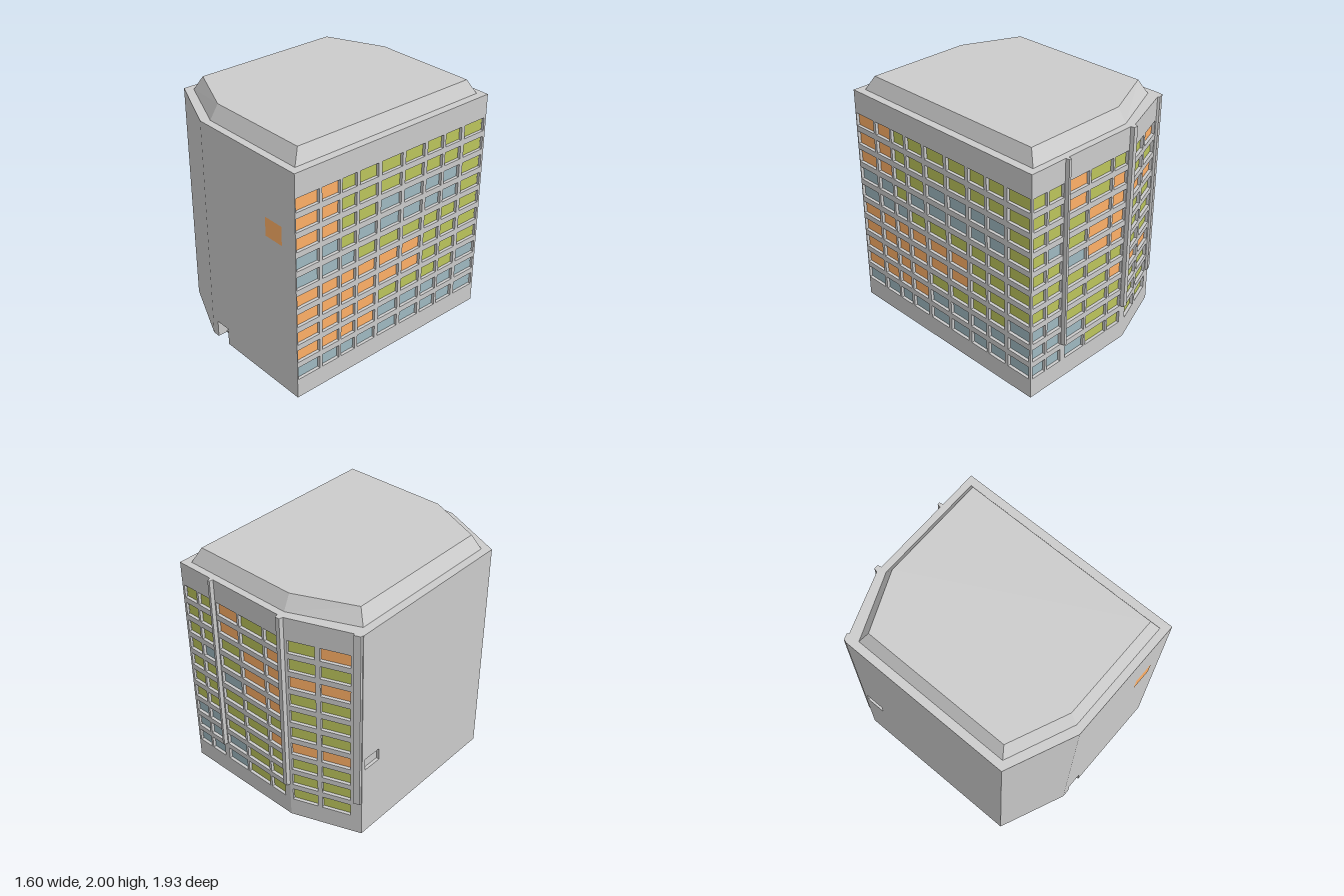
import * as THREE from 'three';
import { mergeGeometries } from 'three/addons/utils/BufferGeometryUtils.js';

const WALL_H = 1.885, ROOF_H = 2, DEPTH = 0.025;
const grey = new THREE.MeshStandardMaterial({ color: 0xcccccc, flatShading: true });
const greyDouble = new THREE.MeshStandardMaterial({ color: 0xcccccc, side: THREE.DoubleSide });
const glass = {
  O: new THREE.MeshStandardMaterial({ color: 0xffb067 }),
  G: new THREE.MeshStandardMaterial({ color: 0xbcc55c }),
  B: new THREE.MeshStandardMaterial({ color: 0x9fb9c1 }),
  N: grey,
};

// Corners as [x, z], running left to right when each wall is seen from outside
const FOOTPRINT = [[0.8, 0.965], [0.8, -0.935], [-0.25, -0.935], [-0.8, -0.73], [-0.8, 0.725], [-0.25, 0.965]];
const ROOF_BASE = [[0.735, 0.905], [0.735, -0.88], [-0.21, -0.88], [-0.735, -0.66], [-0.735, 0.68], [-0.21, 0.905]];
const ROOF_TOP = [[0.685, 0.84], [0.685, -0.815], [-0.2, -0.815], [-0.67, -0.61], [-0.67, 0.635], [-0.2, 0.84]];

// Window columns [start, end] along the wall, and colours of each row from the top
const SIDE_COLS = [[0.008, 0.215], [0.241, 0.405], [0.427, 0.565], [0.592, 0.771], [0.805, 1.01],
  [1.042, 1.238], [1.27, 1.435], [1.461, 1.631], [1.665, 1.88]];
const SIDE_ROWS = ['OOGGGGGGG', 'OOGGGGGGG', 'OOGGBBBBG', 'BBGBBBBBG', 'BBBGGGGGG',
  'OOOOOOGGG', 'OOOOOOGGG', 'OOOOGGGGB', 'OOOOBBBBB', 'BBBBBBBBB'];
const BACK_COLS = [[0.02, 0.15], [0.17, 0.315], [0.365, 0.575], [0.595, 0.83], [0.85, 0.995]];
const BACK_ROWS = ['GGOGG', 'GGOGO', 'GGGOO', 'GBGOO', 'GGBOO', 'GGGGG', 'GGGGO', 'BBGGG', 'BBBGG', 'BBBGG'];
const ANGLE_COLS = [[0.023, 0.23], [0.267, 0.496]];
const ANGLE_ROWS = ['GO', 'GG', 'OO', 'GG', 'GG', 'GG', 'OO', 'GG', 'GG', 'GG'];

const rowBottom = (r) => 1.585 - r * 0.1578;
const ROW_H = 0.11;

function gridOpenings(cols, rows) {
  return rows.flatMap((row, r) => cols.map(([u0, u1], c) => (
    { u0, u1, v0: rowBottom(r), v1: rowBottom(r) + ROW_H, color: row[c], depth: DEPTH })));
}

function addMesh(parent, name, geometry, material) {
  const mesh = new THREE.Mesh(geometry, material);
  mesh.name = name;
  parent.add(mesh);
  return mesh;
}

function rectPath(o) {
  return new THREE.Path([[o.u0, o.v0], [o.u0, o.v1], [o.u1, o.v1], [o.u1, o.v0]].map((p) => new THREE.Vector2(...p)));
}

// Flat wall with openings, their reveals and recessed panes
function makeWall(name, a, b, openings) {
  const wall = new THREE.Group();
  wall.name = name;
  const dx = b[0] - a[0], dz = b[1] - a[1], len = Math.hypot(dx, dz);
  wall.position.set(a[0], 0, a[1]);
  wall.rotation.y = Math.atan2(-dz, dx);

  // An opening at ground level cuts the wall outline instead of making a hole
  const door = openings.find((o) => o.v0 === 0);
  const outline = [[0, 0]];
  if (door) outline.push([door.u0, 0], [door.u0, door.v1], [door.u1, door.v1], [door.u1, 0]);
  outline.push([len, 0], [len, WALL_H], [0, WALL_H]);
  const shape = new THREE.Shape(outline.map((p) => new THREE.Vector2(...p)));
  shape.holes = openings.filter((o) => o !== door).map(rectPath);
  addMesh(wall, name + 'Surface', new THREE.ShapeGeometry(shape), grey);

  const reveals = [], panes = {};
  for (const o of openings) {
    const w = o.u1 - o.u0, h = o.v1 - o.v0, u = o.u0 + w / 2, v = o.v0 + h / 2;
    const box = new THREE.BoxGeometry(w, h, o.depth).translate(u, v, -o.depth / 2);
    // Keep only the surrounding faces; a doorway has no bottom face
    const sides = Array.from(box.index.array).slice(0, o === door ? 18 : 24);
    box.setIndex(sides);
    reveals.push(box);
    (panes[o.color] ??= []).push(new THREE.PlaneGeometry(w, h).translate(u, v, -o.depth));
  }
  if (reveals.length) addMesh(wall, 'windowReveals', mergeGeometries(reveals), greyDouble);
  for (const key of Object.keys(panes)) addMesh(wall, 'panes', mergeGeometries(panes[key]), glass[key]);
  return wall;
}

// Vertical rib with a tapered section, standing out of a wall
function addRib(wall, u, base, tip, out) {
  const s = new THREE.Shape([[-base, 0.01], [base, 0.01], [tip, -out], [-tip, -out]].map((p) => new THREE.Vector2(...p)));
  const g = new THREE.ExtrudeGeometry(s, { depth: WALL_H - 0.32, bevelEnabled: false });
  g.rotateX(-Math.PI / 2).scale(1, 1, 1);
  // Section y becomes -z, so the tip faces outwards
  addMesh(wall, 'rib', g, grey).position.set(u, 0.32, 0);
}

function slab(points, y, up) {
  const s = new THREE.Shape(points.map(([x, z]) => new THREE.Vector2(x, up ? -z : z)));
  return new THREE.ShapeGeometry(s).rotateX(up ? -Math.PI / 2 : Math.PI / 2).translate(0, y, 0);
}

// Sloping band between two outlines
function band(lower, y0, upper, y1) {
  const pos = [];
  lower.forEach((p, i) => {
    const j = (i + 1) % lower.length;
    const a = [p[0], y0, p[1]], b = [lower[j][0], y0, lower[j][1]];
    const c = [upper[j][0], y1, upper[j][1]], d = [upper[i][0], y1, upper[i][1]];
    pos.push(...a, ...b, ...c, ...a, ...c, ...d);
  });
  const g = new THREE.BufferGeometry();
  g.setAttribute('position', new THREE.Float32BufferAttribute(pos, 3));
  g.computeVertexNormals();
  return g;
}

export function createModel() {
  const model = new THREE.Group();
  model.name = 'officeBlock';

  const doorway = { u0: 0.065, u1: 0.2, v0: 0, v1: 0.145, color: 'N', depth: 0.1 };
  const sideVent = { u0: 0.03, u1: 0.19, v0: 0.645, v1: 0.75, color: 'N', depth: DEPTH };
  const specs = [
    ['leftWall', gridOpenings(SIDE_COLS, SIDE_ROWS)],
    ['backWall', gridOpenings(BACK_COLS, BACK_ROWS)],
    ['backAngledWall', gridOpenings(ANGLE_COLS, ANGLE_ROWS)],
    ['rightWall', [sideVent]],
    ['frontAngledWall', []],
    ['frontWall', [doorway]],
  ];
  const walls = specs.map(([name, openings], i) => {
    const wall = makeWall(name, FOOTPRINT[i], FOOTPRINT[(i + 1) % 6], openings);
    model.add(wall);
    return wall;
  });

  // Ribs on the back
  addRib(walls[1], 0.338, 0.018, 0.01, 0.03);
  addRib(walls[1], 1.026, 0.028, 0.018, 0.03);
  addRib(walls[2], 0.549, 0.036, 0.026, 0.018);

  // Threshold and flat panel on the front
  addMesh(walls[5], 'threshold', new THREE.BoxGeometry(0.135, 0.015, 0.02), grey).position.set(0.1325, 0.0075, -0.09);
  addMesh(walls[5], 'frontPanel', new THREE.PlaneGeometry(0.18, 0.155), glass.O).position.set(0.815, 1.3375, 0.002);

  // Underside with the doorway notch, and its panel
  const floor = [...FOOTPRINT, [-0.185, 0.965], [-0.185, 0.865], [-0.05, 0.865], [-0.05, 0.965]];
  addMesh(model, 'underside', slab(floor, 0, false), grey);
  const panel = addMesh(model, 'undersidePanel', new THREE.PlaneGeometry(0.255, 0.235), glass.G);
  panel.rotation.x = Math.PI / 2;
  panel.position.set(0.08, -0.002, 0.05);

  // Roof ledge and raised roof
  addMesh(model, 'roofLedge', slab(FOOTPRINT, WALL_H, true), grey);
  addMesh(model, 'roofSlopes', band(ROOF_BASE, WALL_H, ROOF_TOP, ROOF_H), grey);
  addMesh(model, 'roofTop', slab(ROOF_TOP, ROOF_H, true), grey);
  return model;
}
